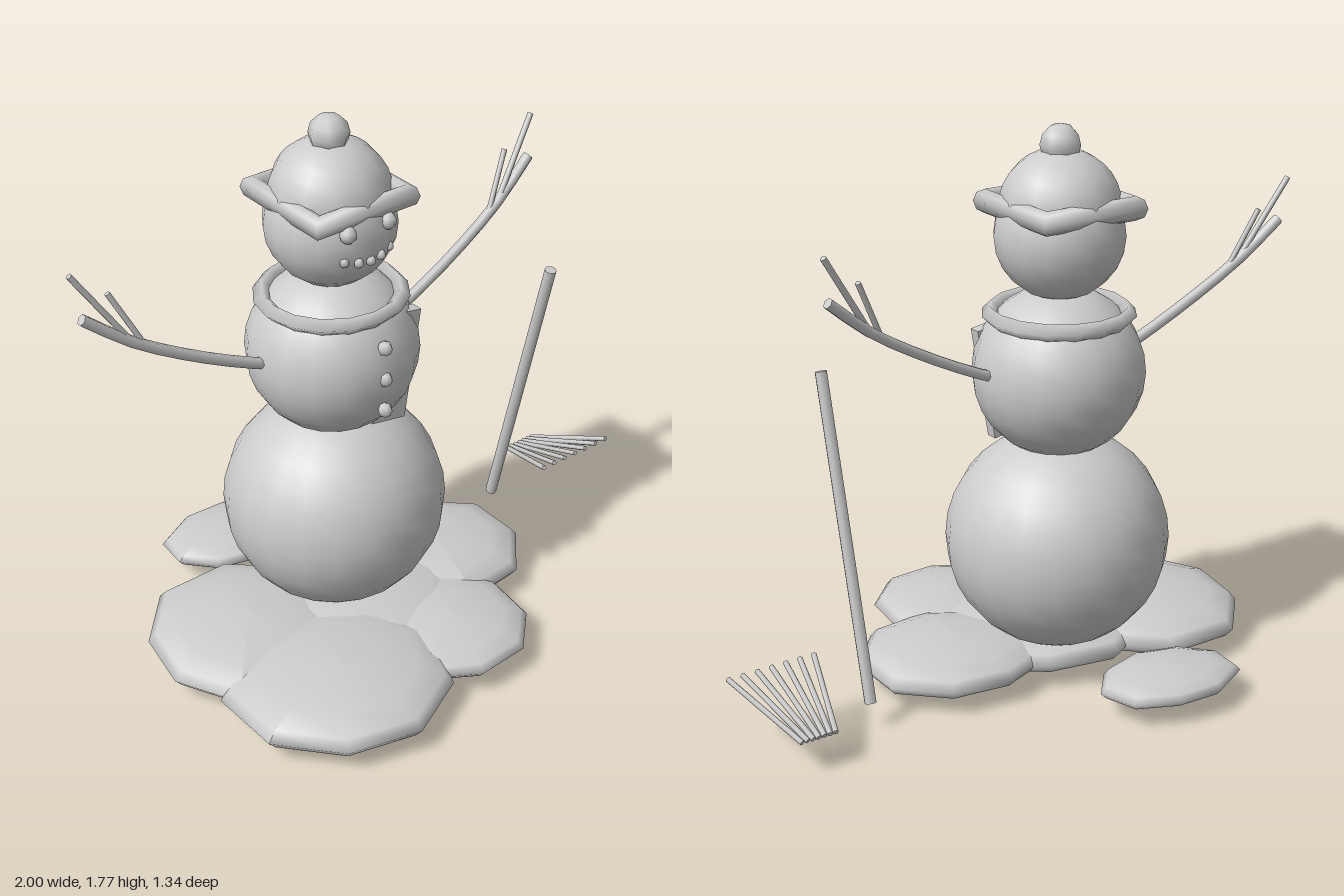
import * as THREE from 'three';

const grey = new THREE.MeshStandardMaterial({ color: 0xcccccc });
grey.name = 'plain grey';

const CX = -0.143, CZ = -0.082; // axis of the snowman
const V = (x, y, z) => new THREE.Vector3(x, y, z);

function add(parent, name, geometry, x = 0, y = 0, z = 0) {
  const mesh = new THREE.Mesh(geometry, grey);
  mesh.name = name;
  mesh.position.set(x, y, z);
  parent.add(mesh);
  return mesh;
}

// Straight stick between two points
function stick(parent, name, a, b, radius, sides = 6) {
  const mesh = add(parent, name, new THREE.CylinderGeometry(radius, radius, a.distanceTo(b), sides));
  mesh.position.copy(a).add(b).multiplyScalar(0.5);
  mesh.quaternion.setFromUnitVectors(V(0, 1, 0), b.clone().sub(a).normalize());
  return mesh;
}

// Flattened snow mound with a slightly uneven outline
function mound(parent, x, z, rx, ry, rz, turn) {
  const g = new THREE.SphereGeometry(1, 9, 8);
  const p = g.attributes.position;
  for (let i = 0; i < p.count; i++) {
    const a = Math.atan2(p.getZ(i), p.getX(i)) + turn;
    const k = 1 + 0.04 * Math.sin(2 * a + turn) + 0.03 * Math.cos(3 * a);
    p.setXYZ(i, p.getX(i) * k, p.getY(i), p.getZ(i) * k);
  }
  g.rotateY(turn);
  g.scale(rx, ry, rz);
  g.computeVertexNormals();
  add(parent, 'snowMound', g, x, 0.097, z);
}

export function createModel() {
  const model = new THREE.Group();
  model.name = 'snowman';

  // Snow on the ground
  const snow = new THREE.Group();
  snow.name = 'groundSnow';
  model.add(snow);
  [
    [-0.43, 0.32, 0.36, 0.085, 0.35, 0.3],
    [-0.51, -0.05, 0.35, 0.078, 0.33, 0.9],
    [-0.265, -0.515, 0.235, 0.048, 0.172, 0.2],
    [0.2, 0.0, 0.31, 0.072, 0.28, 1.4],
    [0.0, 0.33, 0.265, 0.06, 0.262, 0.6],
    [-0.14, 0.03, 0.36, 0.078, 0.34, 0.1],
  ].forEach((m) => mound(snow, ...m));

  // Snowballs
  add(model, 'lowerBall', new THREE.SphereGeometry(0.356, 20, 16), CX, 0.455, CZ);
  add(model, 'middleBall', new THREE.SphereGeometry(0.271, 18, 14), CX, 1.01, CZ);
  add(model, 'head', new THREE.SphereGeometry(0.204, 16, 12), CX, 1.447, CZ);

  // Hat: dome, square brim and bobble
  const hat = new THREE.Group();
  hat.name = 'hat';
  hat.position.set(CX, 1.535, CZ);
  model.add(hat);
  const dome = new THREE.SphereGeometry(0.187, 12, 8, 0, Math.PI * 2, 0, Math.PI / 2);
  dome.scale(1, 0.93, 1);
  add(hat, 'hatDome', dome);
  const brim = new THREE.TorusGeometry(0.23, 0.038, 8, 4);
  brim.rotateX(Math.PI / 2);
  brim.rotateY(Math.PI / 4);
  add(hat, 'hatBrim', brim);
  add(hat, 'hatBobble', new THREE.SphereGeometry(0.064, 7, 6), 0, 0.186, 0);

  // Face
  for (const s of [-1, 1]) {
    add(model, 'eye', new THREE.SphereGeometry(0.027, 8, 6), CX + s * 0.073, 1.49, 0.1);
  }
  for (let i = -2; i <= 2; i++) {
    const y = 1.388 + 0.003 * i * i;
    add(model, 'mouthPebble', new THREE.SphereGeometry(0.016, 6, 5), CX + i * 0.041, y, 0.113 - 0.005 * i * i);
  }

  // Buttons
  for (const y of [1.12, 1.012, 0.903]) {
    add(model, 'button', new THREE.SphereGeometry(0.024, 6, 4), CX, y, 0.18);
  }

  // Scarf ring and its hanging end
  const ring = new THREE.TorusGeometry(0.213, 0.028, 4, 16);
  ring.rotateX(Math.PI / 2);
  add(model, 'scarfRing', ring, CX, 1.196, CZ);
  const tail = add(model, 'scarfTail', new THREE.BoxGeometry(0.13, 0.37, 0.04), -0.026, 0.965, 0.068);
  tail.rotation.z = -0.17;

  // Arms with twigs, mirrored about the body axis
  for (const s of [1, -1]) {
    const arm = new THREE.Group();
    arm.name = s > 0 ? 'leftArm' : 'rightArm';
    model.add(arm);
    const P = (x, y, z) => V(CX + s * (x - CX), y, z);
    const path = new THREE.CatmullRomCurve3([
      P(0.06, 1.02, -0.082), P(0.13, 1.045, -0.085), P(0.33, 1.14, -0.095),
      P(0.54, 1.262, -0.112), P(0.685, 1.378, -0.13),
    ]);
    add(arm, 'branch', new THREE.TubeGeometry(path, 8, 0.018, 6));
    // Closed tip of the branch
    stick(arm, 'branchTip', P(0.665, 1.362, -0.128), P(0.687, 1.38, -0.13), 0.0175);
    stick(arm, 'innerTwig', P(0.508, 1.25, -0.108), P(0.594, 1.427, -0.14), 0.009);
    stick(arm, 'outerTwig', P(0.55, 1.275, -0.112), P(0.706, 1.518, -0.146), 0.01);
  }

  // Rake handle and separate fan of tines
  const rake = new THREE.Group();
  rake.name = 'rake';
  model.add(rake);
  stick(rake, 'rakeHandle', V(0.592, 0.1, -0.147), V(0.592, 1.094, 0.1), 0.019, 8);
  for (let i = -3; i <= 3; i++) {
    stick(rake, 'rakeTine', V(0.845 + i * 0.0185, 0.123, -0.285), V(0.845 + i * 0.0485, 0.23, 0.005), 0.0085);
  }

  return model;
}
